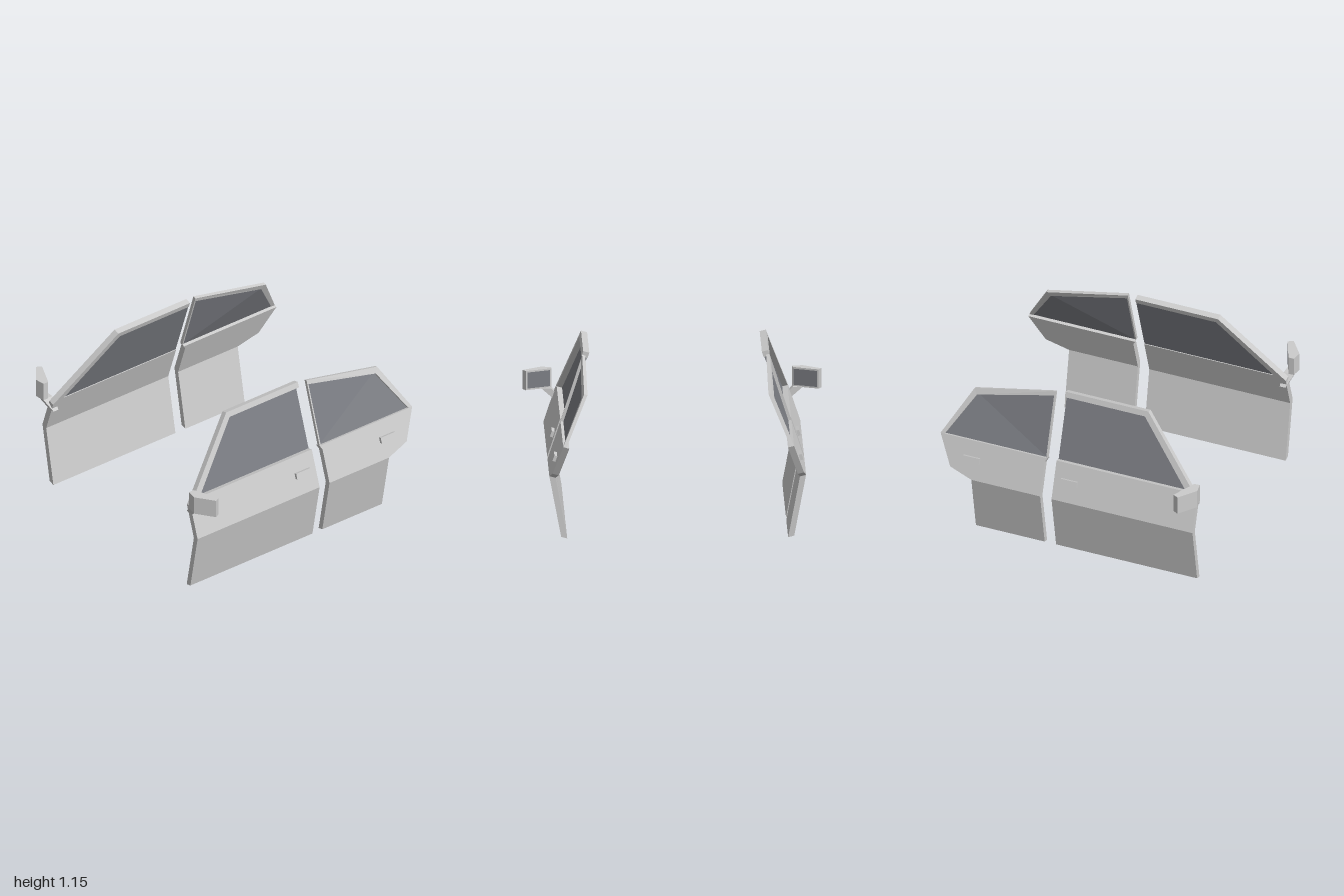
import * as THREE from 'three';
import { ConvexGeometry } from 'three/addons/geometries/ConvexGeometry.js';

const paint = new THREE.MeshStandardMaterial({ color: 0xcccccc, flatShading: true });
const glass = new THREE.MeshStandardMaterial({ color: 0x7b7d83, flatShading: true, side: THREE.DoubleSide });

const lerp = THREE.MathUtils.lerp;
const shapeOf = (pts) => new THREE.Shape(pts.map(([a, b]) => new THREE.Vector2(a, b)));

// outer skin of the doors: x for a height y, with a knee at 0.43
const skin = (z, y) => (y < 0.43 ? 0.86 - (0.43 - y) * 0.19 : 0.86 - (y - 0.43) * 0.334);

// rear window skin: leans in to a roof edge that keeps a constant x
const rearSkin = (z, y) => {
  const roof = lerp(1.14, 1.01, (-0.175 - z) / 0.595);
  return lerp(0.773, 0.628, (y - 0.69) / (roof - 0.69));
};

// move a (z, y, depth) geometry onto the door skin
function bend(geo, surface, place) {
  const p = geo.attributes.position;
  for (let i = 0; i < p.count; i++) {
    const z = p.getX(i), y = p.getY(i), d = place(p.getZ(i));
    p.setXYZ(i, surface(z, y) - d, y - d * 0.28, z);
  }
  return geo;
}

// solid panel from a (z, y) outline
const panel = (pts, surface = skin, thickness = 0.041) =>
  bend(new THREE.ExtrudeGeometry(shapeOf(pts), { depth: 1, bevelEnabled: false }), surface, (w) => w * thickness);

// thin pane at a given depth behind the skin
const pane = (pts, surface, depth) => bend(new THREE.ShapeGeometry(shapeOf(pts)), surface, () => depth);

// mirrored copy with the corner order reversed
function mirrored(geo) {
  const g = geo.clone();
  const p = g.attributes.position;
  for (let i = 0; i < p.count; i++) p.setX(i, -p.getX(i));
  for (let i = 0; i < p.count; i += 3) {
    const b = new THREE.Vector3().fromBufferAttribute(p, i + 1);
    const c = new THREE.Vector3().fromBufferAttribute(p, i + 2);
    p.setXYZ(i + 1, c.x, c.y, c.z);
    p.setXYZ(i + 2, b.x, b.y, b.z);
  }
  return g;
}

function handle(z) {
  const g = new THREE.BoxGeometry(0.036, 0.04, 0.12);
  g.rotateZ(0.323);
  return g.translate(0.817, 0.566, z);
}

function frontDoor() {
  return [
    ['lowerPanel', panel([[0.913, 0.012], [-0.112, 0.012], [-0.112, 0.43], [0.913, 0.43]]), paint],
    // belt panel with windscreen pillar and roof rail, open at the rear
    ['upperPanelAndFrame', panel([[0.913, 0.43], [0.913, 0.66], [0.49, 1.152], [-0.112, 1.152], [-0.112, 1.115],
      [0.47, 1.115], [0.83, 0.69], [-0.112, 0.69], [-0.112, 0.43]]), paint],
    ['window', pane([[0.84, 0.685], [0.473, 1.122], [-0.112, 1.122], [-0.112, 0.685]], skin, 0.036), glass],
    ['handle', handle(0), paint],
  ];
}

function rearDoor() {
  return [
    ['lowerPanel', panel([[-0.195, 0.012], [-0.695, 0.012], [-0.695, 0.43], [-0.195, 0.43]]), paint],
    ['upperPanel', panel([[-0.195, 0.43], [-0.195, 0.66], [-0.178, 0.69], [-0.955, 0.69], [-0.857, 0.485],
      [-0.695, 0.43]]), paint],
    ['windowFrame', panel([[-0.178, 0.69], [-0.178, 1.142], [-0.77, 1.01], [-0.955, 0.69], [-0.925, 0.69],
      [-0.745, 0.975], [-0.188, 1.112], [-0.188, 0.69]], rearSkin, 0.022), paint],
    ['window', pane([[-0.183, 0.685], [-0.183, 1.12], [-0.748, 0.983], [-0.93, 0.685]], rearSkin, 0.019), glass],
    ['handle', handle(-0.71), paint],
  ];
}

function wingMirror() {
  // housing: plan outline raised upwards
  const plan = [[1, 0.863], [0.877, 0.955], [0.807, 0.944], [0.807, 0.905], [0.98, 0.826]];
  const housing = new THREE.ExtrudeGeometry(shapeOf(plan.map(([x, z]) => [x, -z])), { depth: 0.132, bevelEnabled: false });
  housing.rotateX(-Math.PI / 2).translate(0, 0.664, 0);

  // reflecting face on the back of the housing
  const face = new THREE.PlaneGeometry(0.17, 0.11);
  face.rotateY(Math.PI - Math.atan2(-0.079, 0.173)).translate(0.8927, 0.73, 0.8637);

  // stalk: tapers down to the door
  const corners = [];
  for (const [x0, x1, y, z0, z1] of [[0.81, 0.875, 0.666, 0.87, 0.945], [0.738, 0.795, 0.595, 0.87, 0.912]])
    for (const x of [x0, x1]) for (const z of [z0, z1]) corners.push(new THREE.Vector3(x, y, z));

  return [
    ['mirrorHousing', housing, paint],
    ['mirrorGlass', face, glass],
    ['mirrorStalk', new ConvexGeometry(corners), paint],
  ];
}

export function createModel() {
  const model = new THREE.Group();
  model.name = 'carDoors';
  const parts = { FrontDoor: frontDoor(), RearDoor: rearDoor(), WingMirror: wingMirror() };
  for (const side of ['left', 'right']) {
    for (const [partName, meshes] of Object.entries(parts)) {
      const group = new THREE.Group();
      group.name = side + partName;
      for (const [name, geo, material] of meshes) {
        const flat = geo.index ? geo.toNonIndexed() : geo;
        const g = side === 'left' ? flat : mirrored(flat);
        g.computeVertexNormals();
        const mesh = new THREE.Mesh(g, material);
        mesh.name = name;
        group.add(mesh);
      }
      model.add(group);
    }
  }
  return model;
}
